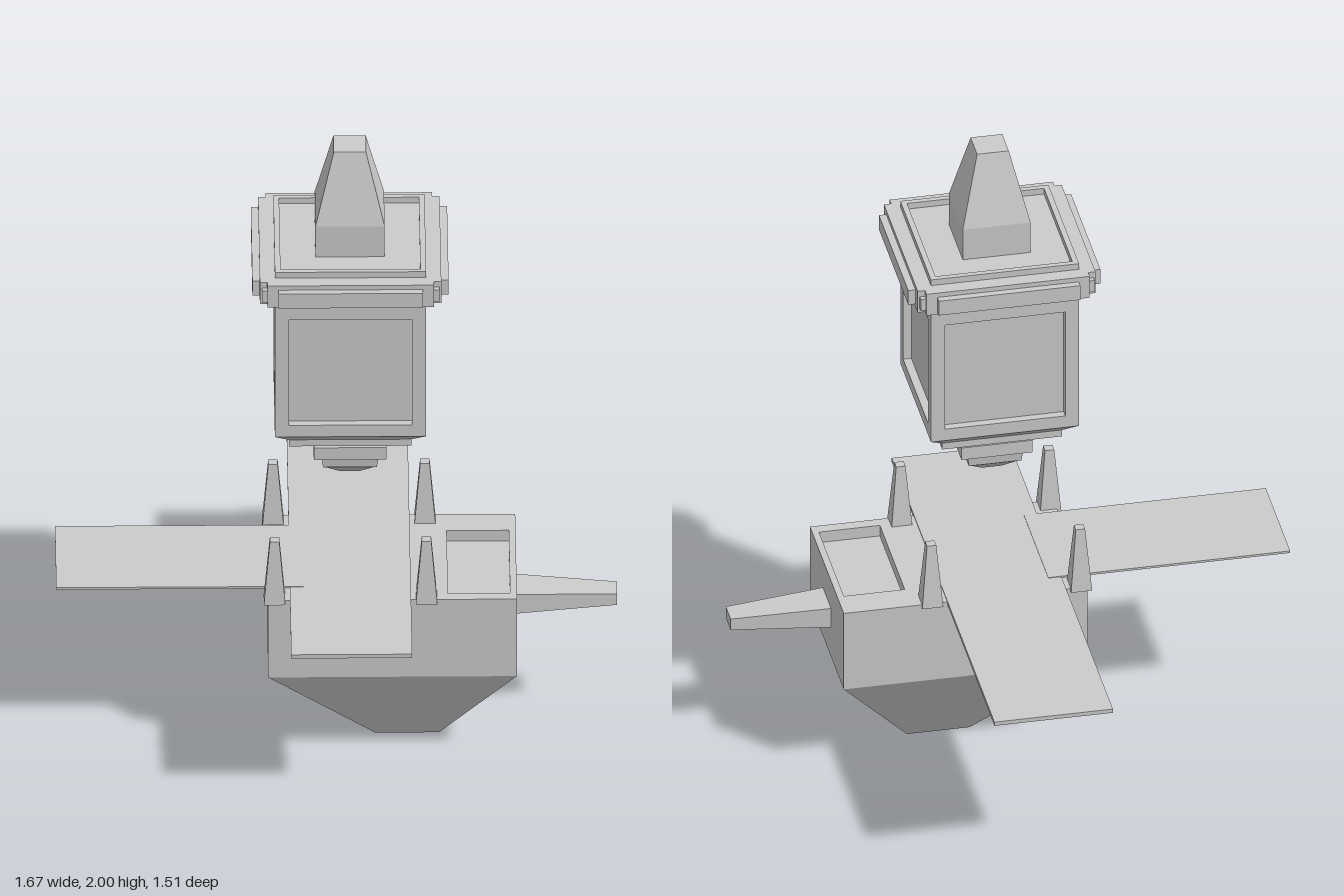
import * as THREE from 'three';

const CX = 0.04, CZ = 0.184; // axis of the lantern

export function createModel() {
  const root = new THREE.Group();
  const mat = new THREE.MeshStandardMaterial({ color: 0xcccccc, flatShading: true });

  const add = (name, geo, parent = root) => {
    const m = new THREE.Mesh(geo, mat);
    m.name = name;
    parent.add(m);
    return m;
  };
  // box given by its min and max corners
  const box = (name, x0, x1, y0, y1, z0, z1, parent) =>
    add(name, new THREE.BoxGeometry(x1 - x0, y1 - y0, z1 - z0)
      .translate((x0 + x1) / 2, (y0 + y1) / 2, (z0 + z1) / 2), parent);
  // tapered block; bottom and top are [x0, x1, z0, z1]
  const taper = (name, y0, b, y1, t, parent) => {
    const g = new THREE.BoxGeometry(1, 1, 1), p = g.attributes.position;
    for (let i = 0; i < p.count; i++) {
      const up = p.getY(i) > 0, r = up ? t : b;
      p.setXYZ(i, p.getX(i) < 0 ? r[0] : r[1], up ? y1 : y0, p.getZ(i) < 0 ? r[2] : r[3]);
    }
    g.computeVertexNormals();
    return add(name, g, parent);
  };
  const sq = (h, x = 0, z = 0) => [x - h, x + h, z - h, z + h];
  // rectangular frame in the xy plane with a rectangular hole, extruded along +z
  const frame = (o, h, depth) => {
    const pts = ([a, b, c, d]) =>
      [[a, c], [b, c], [b, d], [a, d]].map(([x, y]) => new THREE.Vector2(x, y));
    const s = new THREE.Shape(pts(o));
    s.holes.push(new THREE.Path(pts(h).reverse()));
    return new THREE.ExtrudeGeometry(s, { depth, bevelEnabled: false });
  };

  // Lantern, centred on its own axis
  const lantern = new THREE.Group();
  lantern.name = 'lantern';
  lantern.position.set(CX, 0, CZ);
  root.add(lantern);
  box('lanternCore', -0.2, 0.2, 1.12, 1.67, -0.2, 0.2, lantern);
  for (let i = 0; i < 4; i++) {
    const side = new THREE.Group();
    side.name = 'lanternSide';
    side.rotation.y = i * Math.PI / 2;
    lantern.add(side);
    const w = i % 2 ? 0.2 : 0.225; // alternate sides fit between the others
    add('panelFrame', frame([-w, w, 1.12, 1.67], [-0.183, 0.183, 1.16, 1.525], 0.025), side)
      .position.z = 0.2;
    box('corniceBand', -0.248, 0.248, 1.595, 1.67, 0.22, 0.27, side);
    box('corniceBar', -0.215, 0.215, 1.605, 1.655, 0.265, 0.292, side);
    box('cornicePost', 0.24, 0.264, 1.61, 1.65, 0.24, 0.264, side);
  }
  // raised rim around the roof
  add('roofRim', frame(sq(0.225), sq(0.208), 0.022).rotateX(-Math.PI / 2), lantern)
    .position.y = 1.668;
  // spire
  taper('spireBase', 1.66, sq(0.103), 1.775, sq(0.103), lantern);
  taper('spire', 1.775, sq(0.103), 2, sq(0.048), lantern);
  // underside steps and hanging finial
  taper('lanternTaper', 1.085, sq(0.183), 1.12, sq(0.225), lantern);
  taper('lanternFoot', 1.062, sq(0.145 + 0.037), 1.085, sq(0.182), lantern);
  taper('finialPlate', 0.97, sq(0.108), 1.012, sq(0.108), lantern);
  taper('finialStep', 0.928, sq(0.08), 0.97, sq(0.085), lantern);
  taper('finialTip', 0.885, sq(0.03), 0.928, sq(0.077), lantern);

  // Base box with a shallow tray in the top and a tapering keel
  const X0 = -0.205, X1 = 0.535, Z0 = -0.065, Z1 = 0.43;
  box('baseBox', X0, X1, 0.3, 0.53, Z0, Z1);
  add('baseRim', frame([X0, X1, -Z1, -Z0], [0.33, 0.515, -0.395, -0.03], 0.037)
    .rotateX(-Math.PI / 2)).position.y = 0.53;
  taper('keel', 0, [0.115, 0.305, 0.12, 0.25], 0.3, [X0, X1, Z0, Z1]);

  // Flat wings
  box('crossWing', -0.14, 0.22, 0.557, 0.57, -0.755, 0.752);
  box('sideWing', -0.835, -0.1, 0.565, 0.572, 0, 0.358);

  // Four tapered posts
  for (const sx of [-1, 1]) for (const sz of [-1, 1]) {
    const x = CX + sx * 0.226, z = CZ + sz * 0.226;
    taper('post', 0.557, sq(0.032, x, z), 0.765, sq(0.014, x, z));
  }

  // Side handle, tapering outward
  const handle = taper('handle', 0, [-0.033, 0.033, -0.06, 0.06], 0.3,
    [-0.019, 0.019, -0.036, 0.036]);
  handle.rotation.z = -Math.PI / 2;
  handle.position.set(X1, 0.437, 0.181);

  return root;
}
